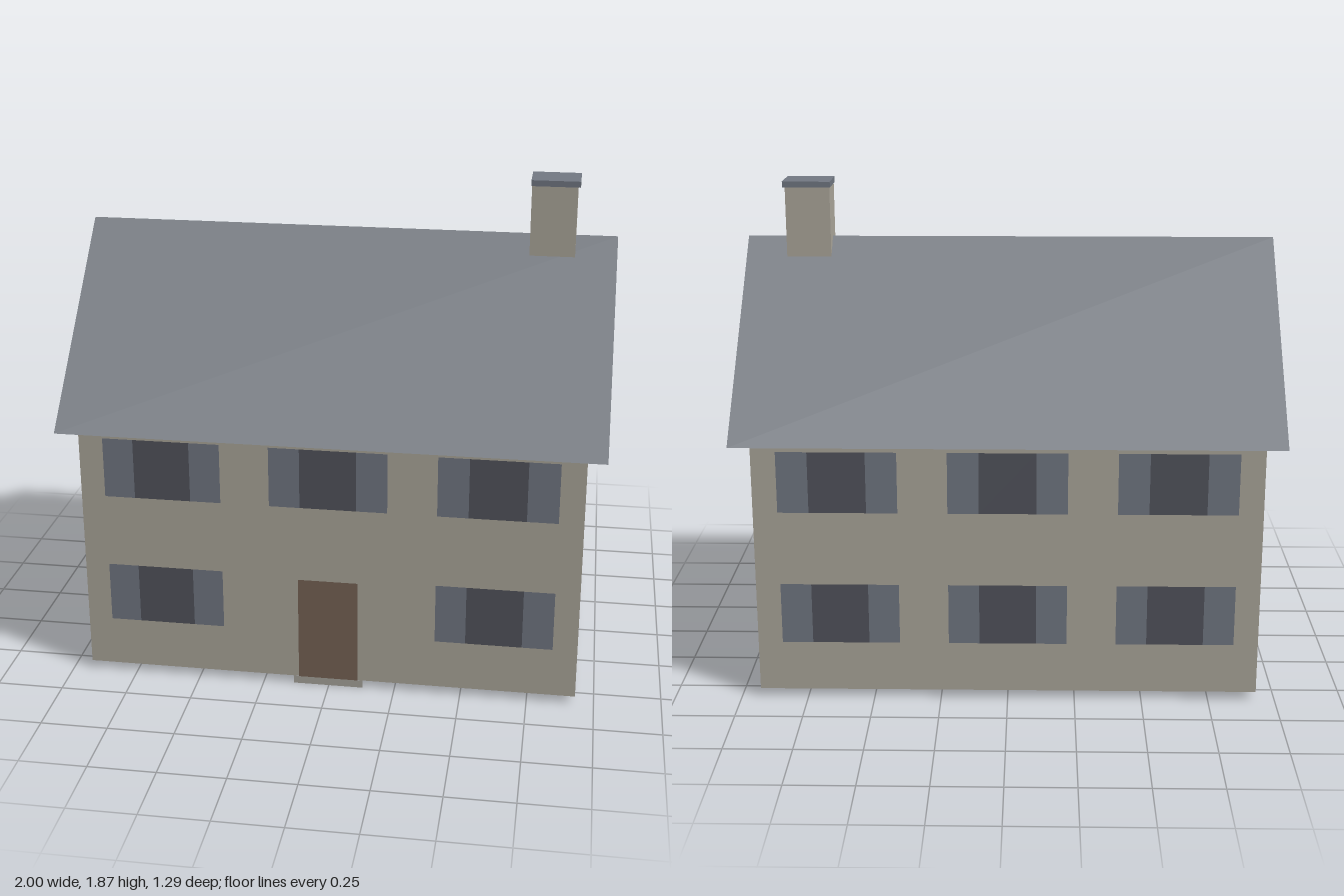
import * as THREE from 'three';

const mat = (name, color, side = THREE.FrontSide) => {
  const m = new THREE.MeshStandardMaterial({ color, side });
  m.name = name;
  return m;
};

// One flat face from corners listed counter-clockwise as seen from its front
function face(corners) {
  const pos = [];
  for (let i = 1; i < corners.length - 1; i++) pos.push(...corners[0], ...corners[i], ...corners[i + 1]);
  const g = new THREE.BufferGeometry();
  g.setAttribute('position', new THREE.Float32BufferAttribute(pos, 3));
  g.computeVertexNormals();
  return g;
}

export function createModel() {
  const house = new THREE.Group();
  house.name = 'house';
  const stone = mat('stone wall', 0xaea99d, THREE.DoubleSide);
  const slate = mat('slate roof', 0x7d8289, THREE.DoubleSide);
  const glass = mat('dark glass', 0x53555e);
  const paint = mat('shutter paint', 0x737984);
  const wood = mat('door wood', 0x786556);
  const step = mat('door step', 0xa9a69e, THREE.DoubleSide);

  const add = (parent, name, geometry, material, x = 0, y = 0, z = 0) => {
    const mesh = new THREE.Mesh(geometry, material);
    mesh.name = name;
    mesh.position.set(x, y, z);
    parent.add(mesh);
    return mesh;
  };

  const W = 0.93, D = 0.58, base = 0.03, eave = 1.05, peak = 1.632;

  // Open-bottomed walls and roof slopes, the second half turned round
  for (const [side, turn] of [['front', 0], ['back', Math.PI]]) {
    const half = new THREE.Group();
    half.name = side + 'Half';
    half.rotation.y = turn;
    house.add(half);

    add(half, side + 'Wall', face([[-W, base, D], [W, base, D], [W, eave, D], [-W, eave, D]]), stone);
    add(half, 'gableWall', face([[W, base, D], [W, base, -D], [W, eave, -D], [W, peak, 0], [W, eave, D]]), stone);
    add(half, side + 'Roof', face([[-1, 1, 0.645], [1, 1, 0.645], [1, 1.648, 0], [-1, 1.648, 0]]), slate);

    // Shuttered windows; the door takes the lower middle place at the front
    for (const y of [0.338, 0.85]) for (const x of [-0.62, 0, 0.62]) {
      if (side === 'front' && x === 0 && y < 0.5) continue;
      const win = new THREE.Group();
      win.name = 'window';
      win.position.set(x, y, D + 0.003);
      half.add(win);
      add(win, 'pane', new THREE.PlaneGeometry(0.21, 0.232), glass);
      for (const s of [-1, 1]) add(win, 'shutter', new THREE.PlaneGeometry(0.114, 0.232), paint, s * 0.162);
    }
  }

  // Door and the edge of its step
  add(house, 'door', new THREE.PlaneGeometry(0.225, 0.41), wood, -0.002, 0.235, D + 0.003);
  add(house, 'doorStep', new THREE.PlaneGeometry(0.265, 0.03), step, -0.002, 0.015, D + 0.002);

  // Chimney with slate cap
  add(house, 'chimney', new THREE.BoxGeometry(0.168, 0.265, 0.136), stone, 0.762, 1.7125, 0);
  add(house, 'chimneyCap', new THREE.BoxGeometry(0.18, 0.022, 0.146), paint, 0.765, 1.854, 0);

  return house;
}
